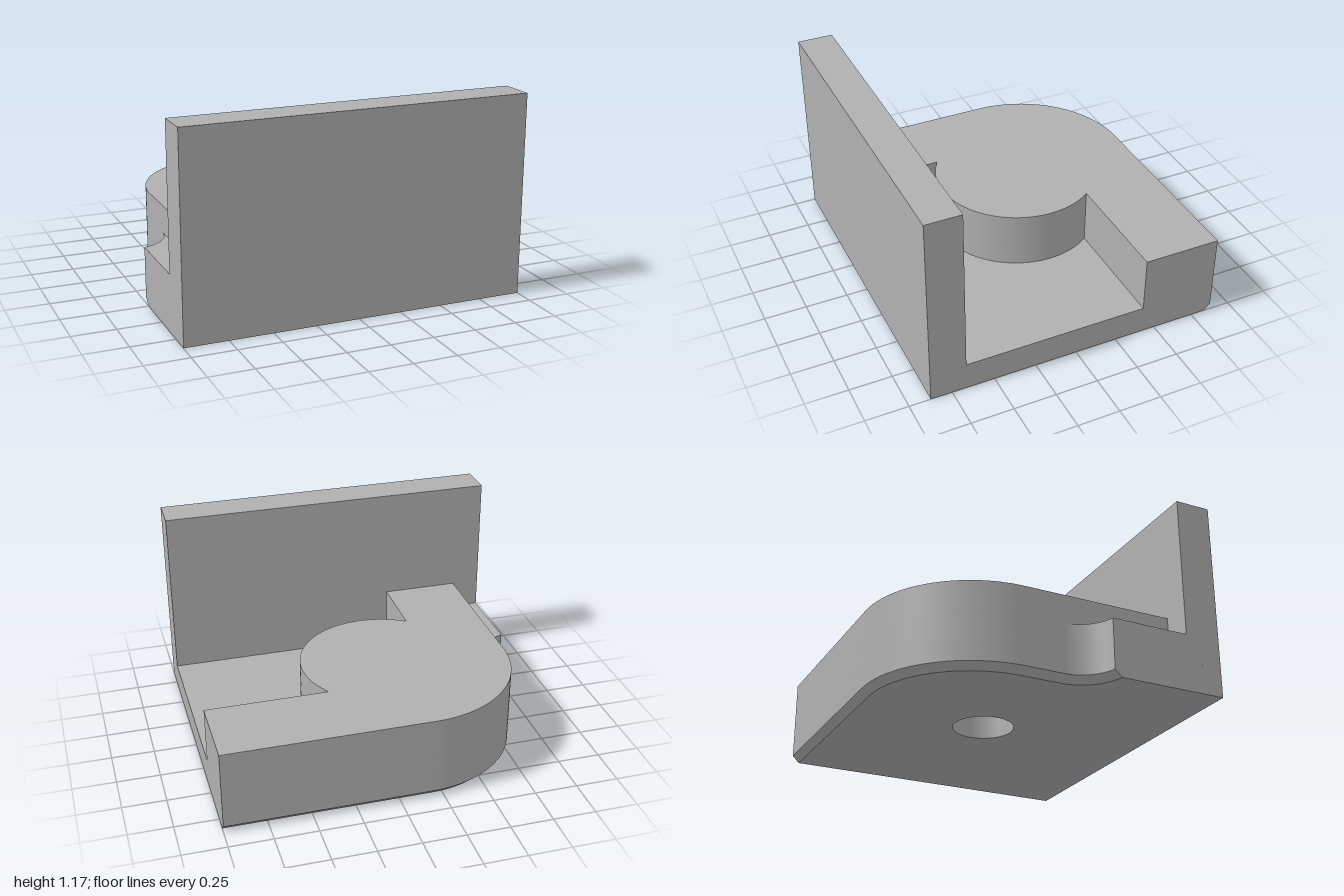
import * as THREE from 'three';
import { toCreasedNormals } from 'three/addons/utils/BufferGeometryUtils.js';

const BACK = -0.875, FRONT = 0.875, WALL = 0.665; // z of back, front, wall's inner face
const FLOOR = 0.167, LEDGE = 0.333, TOP = 0.5, HEIGHT = 1.167, CHAMFER = 0.04;
const SIDE = -0.833;                              // x of the block's right side

// Points [x, z] along an arc
function arc(cx, cz, r, a0, a1, n) {
  return Array.from({ length: n + 1 }, (_, i) => {
    const a = a0 + (a1 - a0) * i / n;
    return [cx + r * Math.cos(a), cz + r * Math.sin(a)];
  });
}

// Back edge and rounded corner, moved inwards by d
function backEdge(d) {
  const R = 0.645;
  return [[1, BACK + d],
    ...arc(SIDE + R, BACK + R, R - d, -Math.PI / 2, -Math.PI, 32)];
}

// Concave scallop between the block and the ledge
function scallop(d) {
  const r = 0.21 + d, cx = SIDE - 0.21;
  return arc(cx, 0, r, 0, Math.acos((-1 - cx) / r), 16);
}

function baseOutline(d) {
  return [[1, FRONT], ...backEdge(d), ...scallop(d), [-1, FRONT]];
}

// Edge of the pocket, wrapping around the round boss
function pocketEdge() {
  const cx = -0.105, cz = -0.145, r = 0.483, s = 0.275, c = Math.sqrt(r * r - s * s);
  return [[cx - s, WALL],
    ...arc(cx, cz, r, Math.atan2(c, -s), Math.atan2(-s, c), 48),
    [1, cz - s]];
}

// Horizontal slab from an [x, z] outline, with an optional bore
function slab(points, y0, y1, bored) {
  const shape = new THREE.Shape(points.map(([x, z]) => new THREE.Vector2(x, -z)));
  if (bored) {
    const hole = new THREE.Path();
    hole.absarc(-0.036, 0.086, 0.173, 0, Math.PI * 2, true);
    shape.holes.push(hole);
  }
  return new THREE.ExtrudeGeometry(shape, { depth: y1 - y0, bevelEnabled: false, curveSegments: 40 })
    .rotateX(-Math.PI / 2).translate(0, y0, 0);
}

// Pull the bottom rim inwards to form the chamfer
function chamferedSlab() {
  const outer = baseOutline(0), inner = baseOutline(CHAMFER);
  const geo = slab(outer, 0, CHAMFER, true);
  const p = geo.attributes.position;
  for (let i = 0; i < p.count; i++) {
    if (p.getY(i) > CHAMFER / 2) continue;
    const k = outer.findIndex(([x, z]) => Math.hypot(x - p.getX(i), z - p.getZ(i)) < 1e-4);
    if (k >= 0) p.setXYZ(i, inner[k][0], 0, inner[k][1]);
  }
  return geo;
}

export function createModel() {
  const group = new THREE.Group();
  group.name = 'bracket';
  const grey = new THREE.MeshStandardMaterial({ color: 0xb0b0b0 });
  grey.name = 'grey';

  function add(name, geo) {
    const flat = geo.index ? geo.toNonIndexed() : geo;
    flat.computeVertexNormals();
    const mesh = new THREE.Mesh(toCreasedNormals(flat, 0.5), grey);
    mesh.name = name;
    group.add(mesh);
  }

  // Floor plate with chamfered lower rim
  add('chamferedBase', chamferedSlab());
  add('floorPlate', slab(baseOutline(0), CHAMFER, FLOOR, true));

  // Raised block: lower layer includes the side ledge, upper layer closes the bore
  add('lowerBlockAndLedge',
    slab([...backEdge(0), ...scallop(0), [-1, WALL], ...pocketEdge()], FLOOR, LEDGE, true));
  add('upperBlock',
    slab([...backEdge(0), [SIDE, WALL], ...pocketEdge()], LEDGE, TOP, false));

  // Upright front wall
  add('frontWall', new THREE.BoxGeometry(2, HEIGHT - FLOOR, FRONT - WALL)
    .translate(0, (HEIGHT + FLOOR) / 2, (FRONT + WALL) / 2));

  return group;
}
